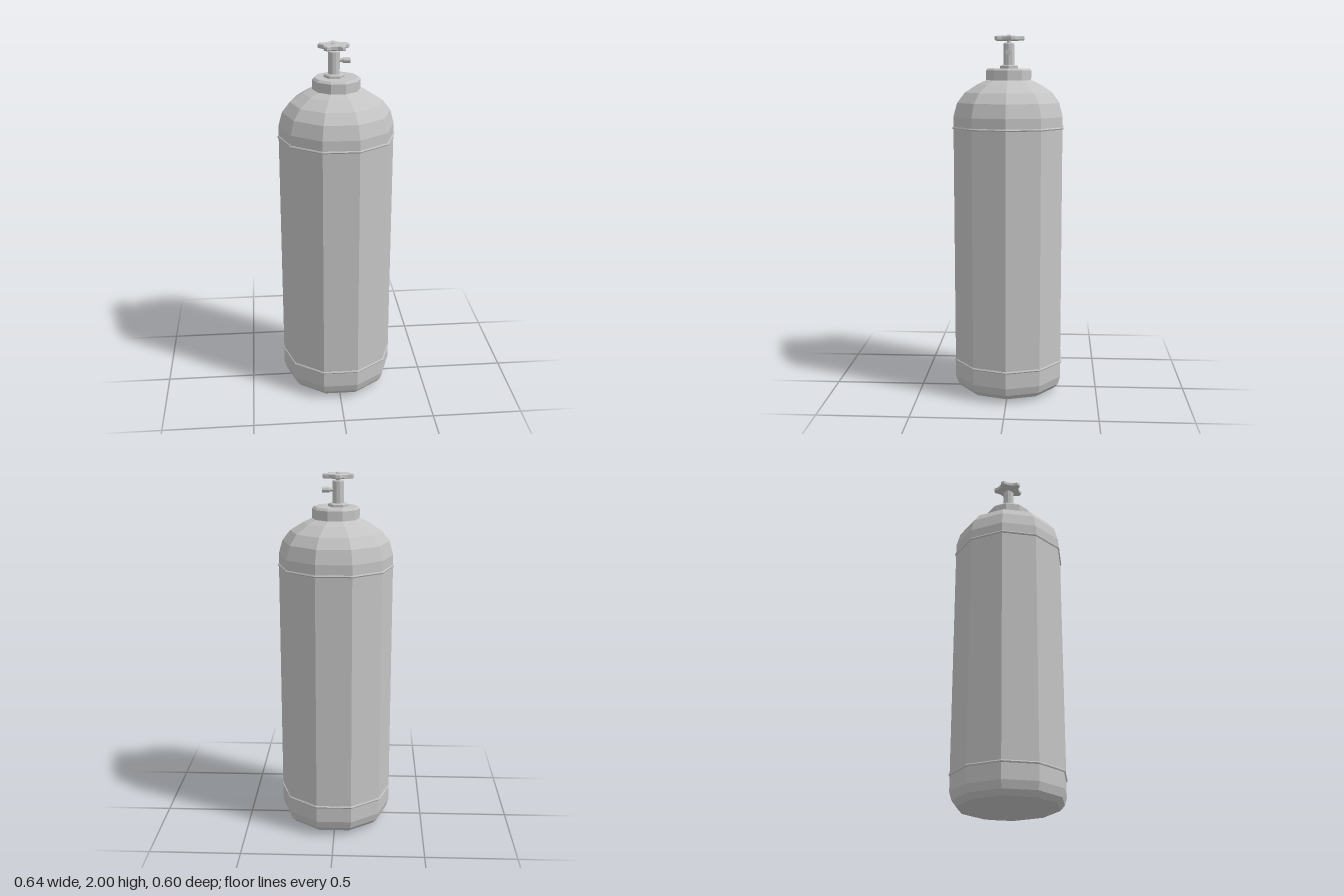
import * as THREE from 'three';

const steel = new THREE.MeshStandardMaterial({ color: 0xc4c4c4, flatShading: true });
steel.name = 'grey steel';

const SIDES = 10;
const VALVE_X = -0.013;

function add(parent, name, geometry, x = 0, y = 0, z = 0) {
  const mesh = new THREE.Mesh(geometry, steel);
  mesh.name = name;
  mesh.position.set(x, y, z);
  parent.add(mesh);
  return mesh;
}

// Faceted solid of revolution with a corner on the x axis; profile runs bottom to top
function turned(profile, sides = SIDES) {
  const points = profile.map(([r, y]) => new THREE.Vector2(r, y));
  return new THREE.LatheGeometry(points, sides, Math.PI / 2);
}

// Five-lobed handwheel outline with blunt tips and shallow hollows
function wheelShape() {
  const points = [];
  for (let i = 0; i < 5; i++) {
    const tip = Math.PI / 2 + (i * Math.PI * 2) / 5;
    for (const [offset, r] of [[-0.36, 0.065], [-0.13, 0.085], [0.13, 0.085], [0.36, 0.065], [Math.PI / 5, 0.062]]) {
      points.push(new THREE.Vector2(Math.cos(tip + offset) * r, Math.sin(tip + offset) * r));
    }
  }
  return new THREE.Shape(points);
}

export function createModel() {
  const model = new THREE.Group();
  model.name = 'gasCylinder';

  // Tank with rounded base and domed shoulder
  add(model, 'tank', turned([
    [0, 0.004], [0.19, 0.004], [0.272, 0.024], [0.298, 0.052], [0.311, 0.095],
    [0.311, 1.56], [0.29, 1.635], [0.247, 1.69], [0.176, 1.735], [0.115, 1.762], [0, 1.762],
  ]));

  // Thin hoops around the tank
  for (const [name, y] of [['lowerBand', 0.187], ['upperBand', 1.5]]) {
    const hoop = new THREE.TorusGeometry(0.311, 0.007, 6, SIDES);
    hoop.rotateX(Math.PI / 2);
    add(model, name, hoop, 0, y);
  }

  // Neck collar with a chamfered top edge
  add(model, 'collar', turned([
    [0, 1.755], [0.128, 1.755], [0.128, 1.808], [0.117, 1.82], [0, 1.82],
  ]));

  // Valve, set slightly off centre
  const valve = new THREE.Group();
  valve.name = 'valve';
  valve.position.x = VALVE_X;
  model.add(valve);
  add(valve, 'valveNut', turned([[0, 1.815], [0.055, 1.815], [0.055, 1.832], [0.048, 1.838], [0, 1.838]], 6));
  add(valve, 'valveStem', turned([[0, 1.83], [0.031, 1.83], [0.031, 1.953], [0.027, 1.957], [0, 1.957]], 10));
  add(valve, 'spindle', turned([[0, 1.95], [0.012, 1.95], [0.012, 1.996], [0.008, 2], [0, 2]], 10));

  // Side outlet pointing to +x
  const outlet = turned([[0, 0.015], [0.011, 0.015], [0.011, 0.045], [0.015, 0.048], [0.015, 0.087], [0.007, 0.087], [0.007, 0.075], [0, 0.075]], 8);
  outlet.rotateZ(-Math.PI / 2);
  add(valve, 'outlet', outlet, 0, 1.907);

  // Handwheel, one lobe pointing to the back
  const wheel = new THREE.ExtrudeGeometry(wheelShape(), {
    depth: 0.016, bevelEnabled: true, bevelThickness: 0.004, bevelSize: 0.004, bevelOffset: -0.004, bevelSegments: 1,
  });
  wheel.rotateX(-Math.PI / 2);
  add(valve, 'handwheel', wheel, 0, 1.973);

  return model;
}
